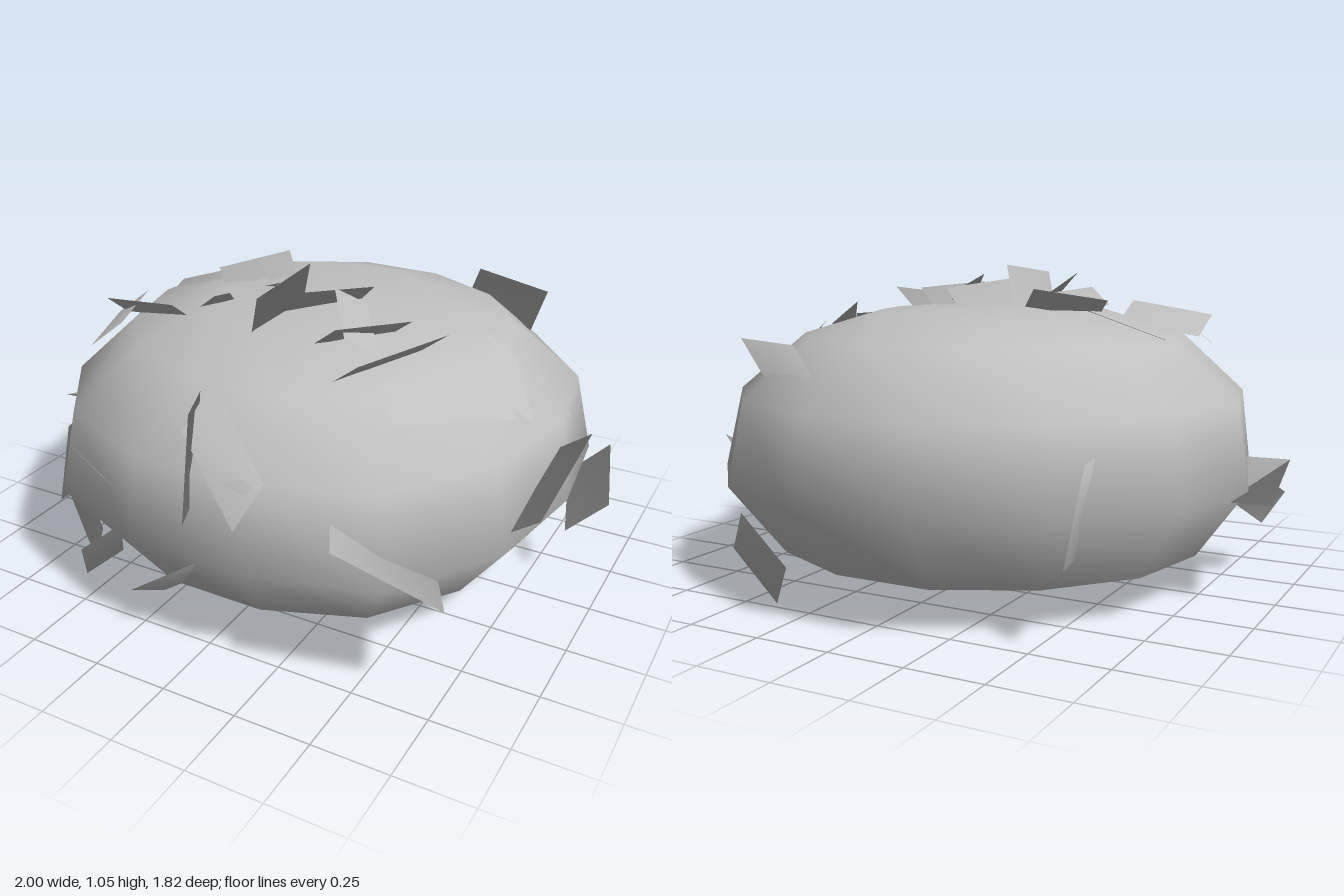
import * as THREE from 'three';

const grey = new THREE.MeshStandardMaterial({ color: 0xc0c0c0, side: THREE.DoubleSide });
grey.name = 'grey';

// Dome rings from rim to crown: radius, height, share of the uneven outline
const rings = [[.73, .14, .5], [.895, .37, 1], [.855, .64, .5], [.645, .83, .2], [.38, .912, 0], [0, .925, 0]];
// Uneven outline: radius factor at each of the 14 corners, from +x towards -z
const outline = [1, 1.05, 1.027, 1.01, 1.005, .98, 1.01, 1, .985, 1.035, .995, 1, 1.075, 1.03];

// Each leaf: centre, full length vector, full width vector
const sideLeaves = [
  [-.92, .39, .05, .02, .09, .31, .14, 0, -.01],
  [-.84, .28, .32, .13, -.17, .22, .11, .09, -.06],
  [-.63, .25, .57, .31, -.12, .22, .06, .15, .02],
  [-.4, .23, .75, .15, .24, .18, .08, .06, -.1],
  [-.1, .225, .76, .27, .2, .03, .03, -.07, -.13],
  [-.43, .5, .72, .24, -.02, .11, .02, -.12, -.07],
  [.09, .7, .77, .23, -.22, .1, -.06, -.13, .08],
  [-.01, .68, .78, .03, -.3, .1, .06, 0, .15],
  [.6, .47, .74, .27, -.2, -.16, .09, .03, .17],
  [.875, .53, .17, -.04, -.15, .33, -.11, -.09, -.03],
  [.895, .325, -.225, -.07, .1, -.23, -.14, -.15, -.02],
  [.4, .77, -.68, .31, 0, .13, .03, .13, -.07],
  [.48, .14, -.705, .24, .13, .08, -.08, .14, -.05],
  [-.62, .4, -.68, .06, -.3, 0, .02, 0, .12],
];
const topLeaves = [
  [-.5, .88, -.08, .3, .1, -.02, .02, -.02, .12],
  [-.31, .94, -.09, .18, .04, -.18, .06, -.06, .06],
  [-.23, .94, .15, -.09, .02, .26, .08, .06, .03],
  [-.13, .95, .19, .03, .06, .3, .1, -.1, .02],
  [-.04, .97, .21, -.02, -.03, .3, .04, .15, .02],
  [.06, .95, .07, -.14, .03, .24, .09, .09, .04],
  [.24, .96, .23, .15, -.07, .22, -.08, .06, .07],
  [.28, .94, .26, -.15, .02, .22, .1, .08, .05],
  [.41, .91, .34, -.17, -.04, .26, .1, .08, .03],
  [-.52, .88, .27, .3, .04, .04, -.02, .07, .08],
  [-.62, .84, .3, .08, -.02, .26, .11, .09, -.03],
  [.61, .83, .36, -.28, .02, .24, .08, -.09, .09],
  [.7, .81, .09, .13, -.14, .16, .08, -.08, -.05],
  [.02, .87, .6, .32, .03, .02, 0, -.05, .1],
  [-.08, .89, .53, .15, -.1, .2, .1, .03, -.06],
  [.7, .73, -.19, .25, -.23, .06, -.05, -.03, -.13],
];

// Flat four-cornered leaf, facing outward and shaded to follow the dome
function leaf([x, y, z, ux, uy, uz, vx, vy, vz]) {
  const centre = new THREE.Vector3(x, y, z);
  const u = new THREE.Vector3(ux, uy, uz);
  const v = new THREE.Vector3(vx, vy, vz);
  const outward = (p) => new THREE.Vector3(p.x, (p.y - .4) * 2.5, p.z).normalize();
  if (u.clone().cross(v).dot(outward(centre)) < 0) v.negate();

  const geometry = new THREE.PlaneGeometry(1, 1);
  const { position, normal } = geometry.attributes;
  for (let i = 0; i < position.count; i++) {
    const p = centre.clone()
      .addScaledVector(u, position.getX(i))
      .addScaledVector(v, position.getY(i));
    const n = outward(p);
    position.setXYZ(i, p.x, p.y, p.z);
    normal.setXYZ(i, n.x, n.y, n.z);
  }
  const mesh = new THREE.Mesh(geometry, grey);
  mesh.name = 'leaf';
  return mesh;
}

// Smooth dome, open underneath, with a slightly uneven outline
function foliageDome() {
  const profile = rings.map(([r, y]) => new THREE.Vector2(r, y));
  const geometry = new THREE.LatheGeometry(profile, outline.length, Math.PI / 2);
  const { position } = geometry.attributes;
  for (let i = 0; i < position.count; i++) {
    const corner = Math.floor(i / rings.length) % outline.length;
    const k = 1 + (outline[corner] - 1) * rings[i % rings.length][2];
    position.setX(i, position.getX(i) * k);
    position.setZ(i, position.getZ(i) * k);
  }
  const dome = new THREE.Mesh(geometry, grey);
  dome.position.set(-.015, 0, -.03);
  dome.name = 'foliageDome';
  return dome;
}

export function createModel() {
  const model = new THREE.Group();
  model.name = 'bush';
  model.add(foliageDome());

  // Loose leaves over the crown and around the sides
  for (const [name, list] of [['sideLeaves', sideLeaves], ['topLeaves', topLeaves]]) {
    const group = new THREE.Group();
    group.name = name;
    list.forEach((l) => group.add(leaf(l)));
    model.add(group);
  }
  return model;
}
